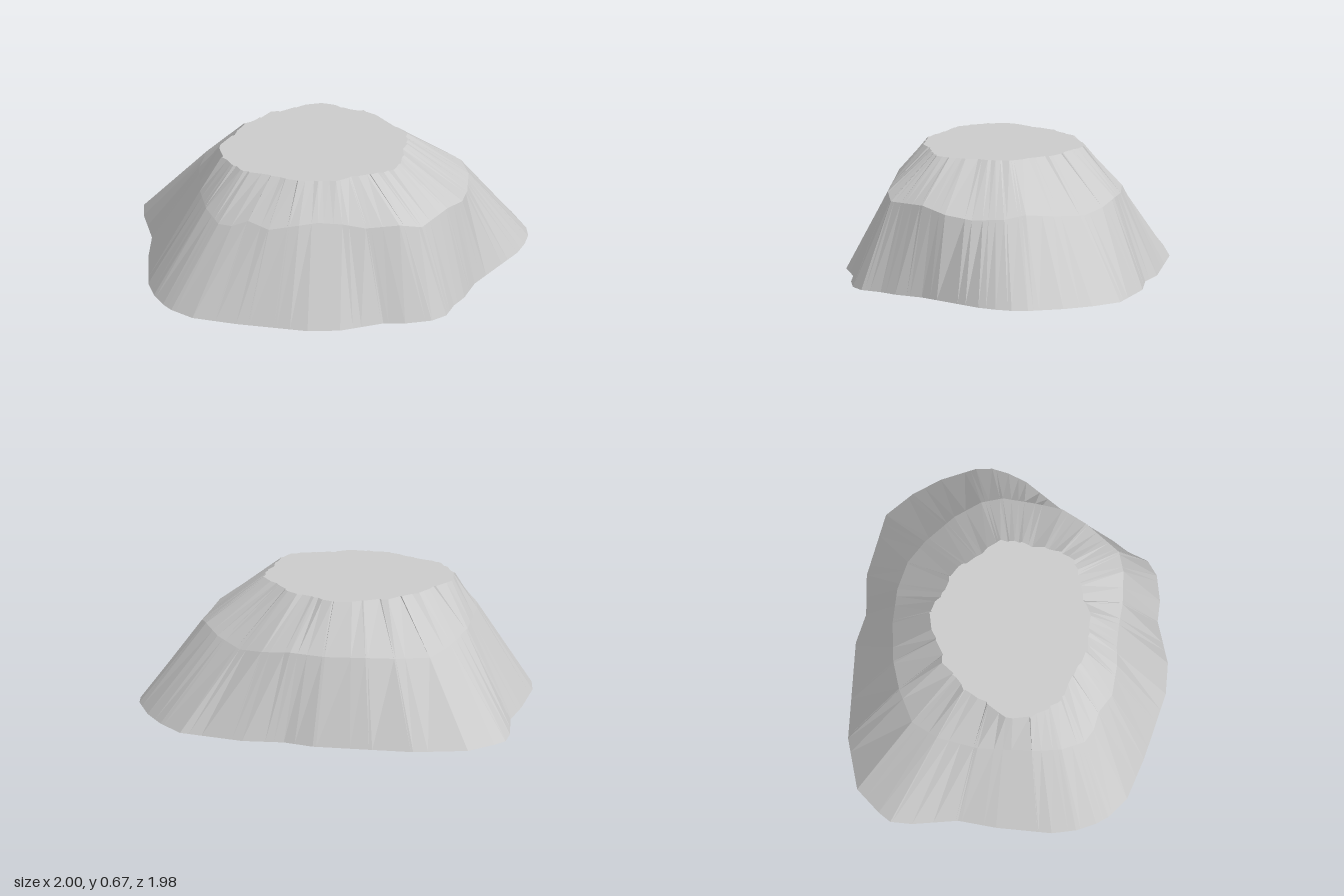
import * as THREE from 'three';

// Contour lines of the mound as corners [x, z] or [x, z, height], clockwise from the back
const FOOT = [
  [-0.2, -0.99], [-0.12, -0.995], [0.05, -0.98], [0.28, -0.81], [0.62, -0.4], [0.69, -0.25], [0.84, -0.09], [1, 0.22],
  [0.98, 0.4], [0.93, 0.56], [0.84, 0.73], [0.78, 0.79], [0.7, 0.83], [0.6, 0.86], [0.2, 0.89], [0.05, 0.94],
  [-0.05, 0.95], [-0.16, 0.985], [-0.25, 0.96], [-0.36, 0.87], [-0.43, 0.78], [-0.63, 0.65], [-0.74, 0.52], [-0.82, 0.36],
  [-0.91, 0.18], [-1, -0.04], [-1, -0.18], [-0.98, -0.25], [-0.93, -0.35], [-0.85, -0.45], [-0.62, -0.63], [-0.45, -0.74],
  [-0.29, -0.92],
];
const SHOULDER = [
  [0, -0.62, 0.41], [0.17, -0.54, 0.42], [0.3, -0.45, 0.43], [0.45, -0.3, 0.43], [0.56, -0.15, 0.44], [0.63, 0, 0.42],
  [0.65, 0.15, 0.4], [0.63, 0.35, 0.42], [0.58, 0.5, 0.44], [0.52, 0.6, 0.42], [0.38, 0.7, 0.41], [0.25, 0.77, 0.43],
  [0.1, 0.79, 0.46], [-0.13, 0.8, 0.45], [-0.23, 0.73, 0.48], [-0.35, 0.6, 0.47], [-0.42, 0.5, 0.49], [-0.5, 0.4, 0.5],
  [-0.57, 0.33, 0.49], [-0.66, 0.2, 0.46], [-0.68, 0.08, 0.48], [-0.72, 0, 0.44], [-0.73, -0.08, 0.43], [-0.68, -0.2, 0.46],
  [-0.58, -0.32, 0.48], [-0.36, -0.5, 0.46], [-0.16, -0.6, 0.44],
];
const RIM = [
  [-0.14, -0.37], [-0.06, -0.35], [0.05, -0.34], [0.08, -0.31], [0.16, -0.27], [0.22, -0.25], [0.29, -0.18], [0.31, -0.12],
  [0.32, -0.04], [0.355, 0.03], [0.36, 0.1], [0.33, 0.2], [0.31, 0.35], [0.23, 0.42], [0.16, 0.45], [0.09, 0.5],
  [0.02, 0.535], [-0.05, 0.545], [-0.1, 0.52], [-0.16, 0.48], [-0.24, 0.42], [-0.31, 0.4], [-0.37, 0.33], [-0.45, 0.23],
  [-0.47, 0.16], [-0.49, 0.08], [-0.54, -0.06], [-0.52, -0.16], [-0.49, -0.24], [-0.43, -0.31], [-0.36, -0.34], [-0.27, -0.34],
  [-0.22, -0.35],
];
const TOP = 0.67;
const CX = -0.09, CZ = 0.09;
const TAU = Math.PI * 2;

const angleOf = ([x, z]) => (Math.atan2(z - CZ, x - CX) + TAU) % TAU;

// Point where a ray from the centre meets a contour
function contourPoint(contour, angle, height) {
  const dx = Math.cos(angle), dz = Math.sin(angle);
  for (let i = 0; i < contour.length; i++) {
    const a = contour[i], b = contour[(i + 1) % contour.length];
    const sideA = dx * (a[1] - CZ) - dz * (a[0] - CX);
    const sideB = dx * (b[1] - CZ) - dz * (b[0] - CX);
    if (sideA > 1e-9 || sideB <= 1e-9) continue;
    const t = sideA / (sideA - sideB);
    const x = a[0] + (b[0] - a[0]) * t, z = a[1] + (b[1] - a[1]) * t;
    if ((x - CX) * dx + (z - CZ) * dz <= 0) continue;
    return [x, height ?? a[2] + (b[2] - a[2]) * t, z];
  }
}

function surface(name, positions, material) {
  const geometry = new THREE.BufferGeometry();
  geometry.setAttribute('position', new THREE.Float32BufferAttribute(positions.flat(), 3));
  geometry.computeVertexNormals();
  const mesh = new THREE.Mesh(geometry, material);
  mesh.name = name;
  return mesh;
}

// Faceted strip between two rings
function band(lower, upper) {
  return lower.flatMap((p, i) => {
    const j = (i + 1) % lower.length;
    return [p, upper[i], lower[j], lower[j], upper[i], upper[j]];
  });
}

// Flat cap as a fan round the centre
function cap(ring, y, up) {
  return ring.flatMap((p, i) => {
    const q = ring[(i + 1) % ring.length];
    return up ? [[CX, y, CZ], q, p] : [[CX, y, CZ], p, q];
  });
}

export function createModel() {
  const group = new THREE.Group();
  group.name = 'rockMound';
  const material = new THREE.MeshStandardMaterial({ color: 0xcccccc, flatShading: true });

  // Every contour is cut at the corners of all three, so no corner is lost
  const angles = [...FOOT, ...SHOULDER, ...RIM].map(angleOf).sort((a, b) => a - b)
    .filter((a, i, all) => i === 0 || a - all[i - 1] > 0.004);
  const foot = angles.map((a) => contourPoint(FOOT, a, 0));
  const shoulder = angles.map((a) => contourPoint(SHOULDER, a));
  // Slight ripple makes the eroded gullies below the plateau
  const rim = angles.map((a, i) => {
    const [x, y, z] = contourPoint(RIM, a, TOP);
    const s = 1 + 0.012 * Math.sin(i * 2.3);
    return [CX + (x - CX) * s, y, CZ + (z - CZ) * s];
  });

  group.add(
    surface('lowerSlope', band(foot, shoulder), material),
    surface('upperSlope', band(shoulder, rim), material),
    surface('plateau', cap(rim, TOP, true), material),
    surface('underside', cap(foot, 0, false), material),
  );
  return group;
}
